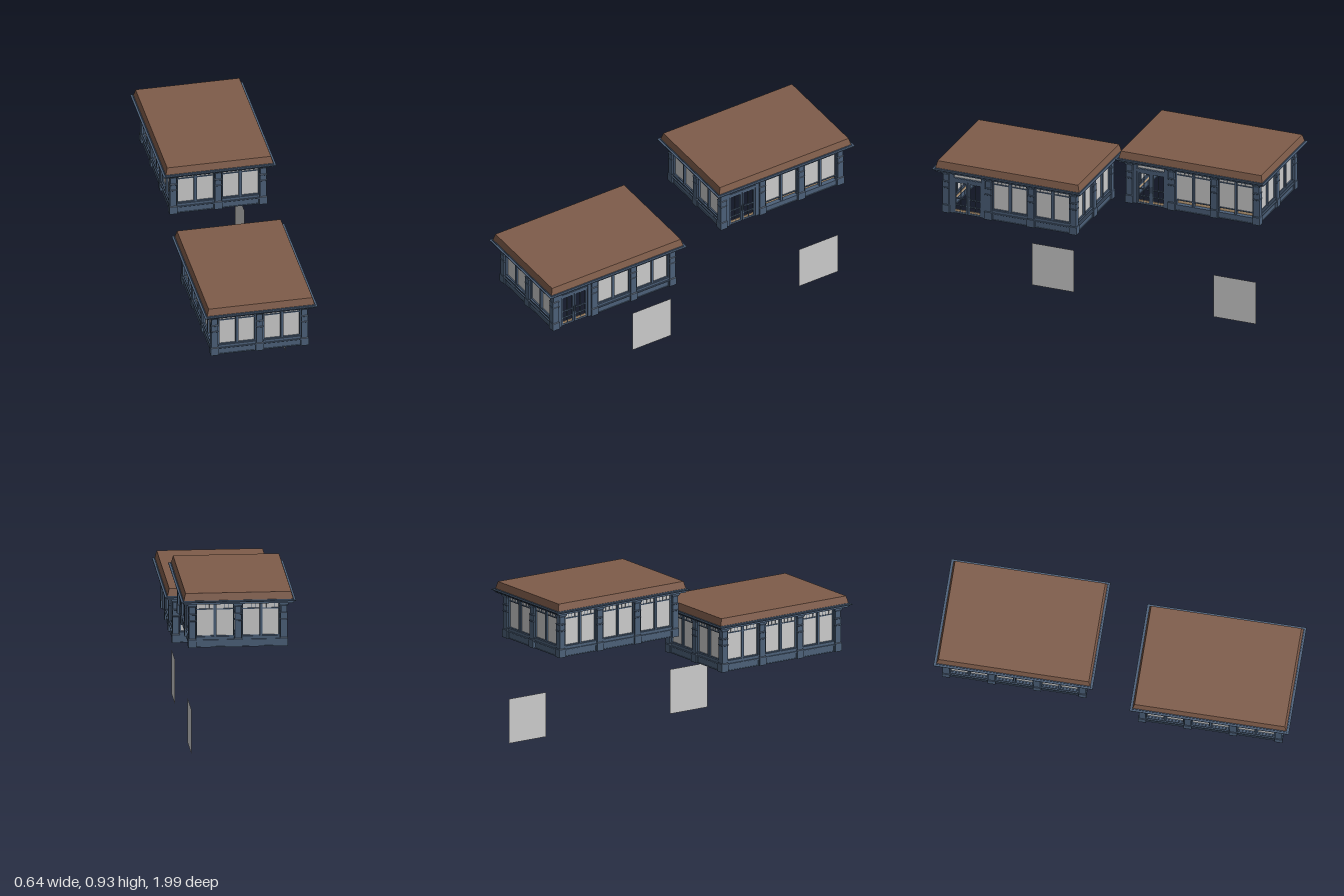
import * as THREE from 'three';

const navy = new THREE.MeshStandardMaterial({ color: 0x4c6079 });
const navyFlat = new THREE.MeshStandardMaterial({ color: 0x4c6079, flatShading: true });
const brown = new THREE.MeshStandardMaterial({ color: 0x7f5c4a, flatShading: true });
const tan = new THREE.MeshStandardMaterial({ color: 0xc8a882 });
const grey = new THREE.MeshStandardMaterial({ color: 0xcccccc, side: THREE.DoubleSide });

const PITCH = 0.255;           // spacing of the columns
const BAY = 0.213;             // clear width between columns
const HX = PITCH, HZ = PITCH * 1.5; // column lines of a building

// Box given by its centre in x and z, and its bottom and top in y
function box(parent, name, w, y0, y1, d, x = 0, z = 0, mat = navy) {
  const m = new THREE.Mesh(new THREE.BoxGeometry(w, y1 - y0, d), mat);
  m.name = name;
  m.position.set(x, (y0 + y1) / 2, z);
  parent.add(m);
  return m;
}

function pane(parent, name, w, y0, y1, x = 0, z = 0) {
  const m = new THREE.Mesh(new THREE.PlaneGeometry(w, y1 - y0), grey);
  m.name = name;
  m.position.set(x, (y0 + y1) / 2, z);
  parent.add(m);
  return m;
}

// Rectangular frame of four bars
function frame(parent, name, w, y0, y1, t, d, x = 0, z = 0) {
  for (const s of [-1, 1]) box(parent, name + 'Stile', t, y0, y1, d, x + s * (w - t) / 2, z);
  box(parent, name + 'BottomRail', w, y0, y0 + t, d, x, z);
  box(parent, name + 'TopRail', w, y1 - t, y1, d, x, z);
}

// Square column: pedestal, shaft, two neck bands and a flared capital
const columnProfile = [
  [0, 0], [0.022, 0], [0.022, 0.046], [0.0185, 0.05], [0.0185, 0.148], [0.0205, 0.15],
  [0.0205, 0.154], [0.0185, 0.156], [0.0185, 0.185], [0.0205, 0.187], [0.0205, 0.191],
  [0.017, 0.194], [0.017, 0.228], [0.025, 0.24], [0.025, 0.25], [0, 0.25],
].map(([h, y]) => new THREE.Vector2(h * Math.SQRT2, y));
const columnGeometry = new THREE.LatheGeometry(columnProfile, 4, Math.PI / 4);

// Two tall windows with a divided top light above a panelled base
function windowBay(hasSill) {
  const g = new THREE.Group();
  g.name = 'windowBay';
  box(g, 'basePanel', BAY, 0, 0.037, 0.02);
  frame(g, 'basePanelTrim', BAY, 0, 0.037, 0.004, 0.028);
  box(g, 'interiorLedge', BAY, 0.038, 0.054, 0.006, 0, -0.014, tan);
  if (hasSill) {
    box(g, 'lowerSill', BAY, 0.037, 0.043, 0.036);
    box(g, 'sillBand', BAY, 0.043, 0.054, 0.022);
    box(g, 'upperSill', BAY, 0.054, 0.061, 0.03);
  }
  box(g, 'mullion', 0.013, 0.037, 0.247, 0.022);
  for (const s of [-1, 1]) {
    const x = s * 0.054;
    box(g, 'sideJamb', 0.006, 0.037, 0.247, 0.02, s * (BAY / 2 - 0.003));
    frame(g, 'windowFrame', 0.099, 0.061, 0.247, 0.004, 0.014, x);
    pane(g, 'windowGlass', 0.093, 0.063, 0.245, x);
    box(g, 'transomBar', 0.093, 0.213, 0.218, 0.012, x);
    for (const k of [-1, 0, 1]) box(g, 'transomMuntin', 0.0015, 0.218, 0.244, 0.006, x + k * 0.023);
  }
  return g;
}

// Double door with a light over it
function doorBay() {
  const g = new THREE.Group();
  g.name = 'doorBay';
  for (const s of [-1, 1]) {
    box(g, 'doorJamb', 0.022, 0, 0.25, 0.024, s * (BAY / 2 - 0.011));
    const x = s * 0.043;
    frame(g, 'doorLeaf', 0.084, 0, 0.197, 0.011, 0.012, x);
    box(g, 'doorMuntin', 0.003, 0.01, 0.19, 0.008, x);
    for (const y of [0.045, 0.088]) box(g, 'doorCrossBar', 0.064, y, y + 0.006, 0.008, x);
    box(g, 'doorKickPanel', 0.064, 0.01, 0.022, 0.006, x, 0, tan);
    box(g, 'doorHandle', 0.003, 0.075, 0.11, 0.024, s * 0.007);
  }
  box(g, 'doorHead', 0.17, 0.197, 0.214, 0.022);
  frame(g, 'overlightFrame', 0.17, 0.212, 0.25, 0.004, 0.018);
  pane(g, 'overlightGlass', 0.163, 0.215, 0.247);
  return g;
}

// Flat slab reaching a set distance beyond the column lines
function slab(parent, name, out, y0, y1, mat = navy) {
  return box(parent, name, 2 * (HX + out), y0, y1, 2 * (HZ + out), 0, 0, mat);
}

function building(plainSide) {
  const g = new THREE.Group();

  // Columns around the rim
  for (let i = -1; i <= 1; i++) {
    for (let k = 0; k < 4; k++) {
      if (i === 0 && k > 0 && k < 3) continue;
      const c = new THREE.Mesh(columnGeometry, navyFlat);
      c.name = 'column';
      c.position.set(i * PITCH, 0, (k - 1.5) * PITCH);
      g.add(c);
    }
  }

  // Two bays on the short walls, three on the long ones
  for (const s of [-1, 1]) {
    for (const x of [-0.5, 0.5]) {
      const b = windowBay(true);
      b.position.set(x * PITCH, 0, s * HZ);
      b.rotation.y = s > 0 ? 0 : Math.PI;
      g.add(b);
    }
    for (const k of [-1, 0, 1]) {
      const b = s > 0 && k === 1 ? doorBay() : windowBay(!(s > 0 && plainSide));
      b.position.set(s * HX, 0, k * PITCH);
      b.rotation.y = s * Math.PI / 2;
      g.add(b);
    }
  }

  // Ceiling, stepped cornice and sloping roof edge
  slab(g, 'ceilingBeam', 0.018, 0.246, 0.255);
  slab(g, 'lowerCornice', 0.049, 0.254, 0.26);
  slab(g, 'middleCornice', 0.054, 0.26, 0.267);
  slab(g, 'upperCornice', 0.064, 0.267, 0.272);
  slab(g, 'roofFoot', 0.053, 0.272, 0.277);
  const roof = slab(g, 'roof', 0.049, 0.277, 0.317, brown);
  const p = roof.geometry.attributes.position;
  for (let i = 0; i < p.count; i++) {
    if (p.getY(i) > 0) {
      p.setX(i, p.getX(i) - Math.sign(p.getX(i)) * 0.01);
      p.setZ(i, p.getZ(i) - Math.sign(p.getZ(i)) * 0.01);
    }
  }
  roof.geometry.computeVertexNormals();
  return g;
}

export function createModel() {
  const model = new THREE.Group();
  model.name = 'shopPavilions';

  const front = building(false);
  front.name = 'frontBuilding';
  front.position.set(0, 0.358, 0.55);
  const back = building(true);
  back.name = 'backBuilding';
  back.position.set(0, 0.613, -0.55);
  model.add(front, back);

  // Loose upright panels below the buildings
  for (const z of [0.295, -0.797]) {
    const panel = pane(model, 'loosePanel', 0.253, 0, 0.255, 0.258, z);
    panel.rotation.y = Math.PI / 2;
  }
  return model;
}
